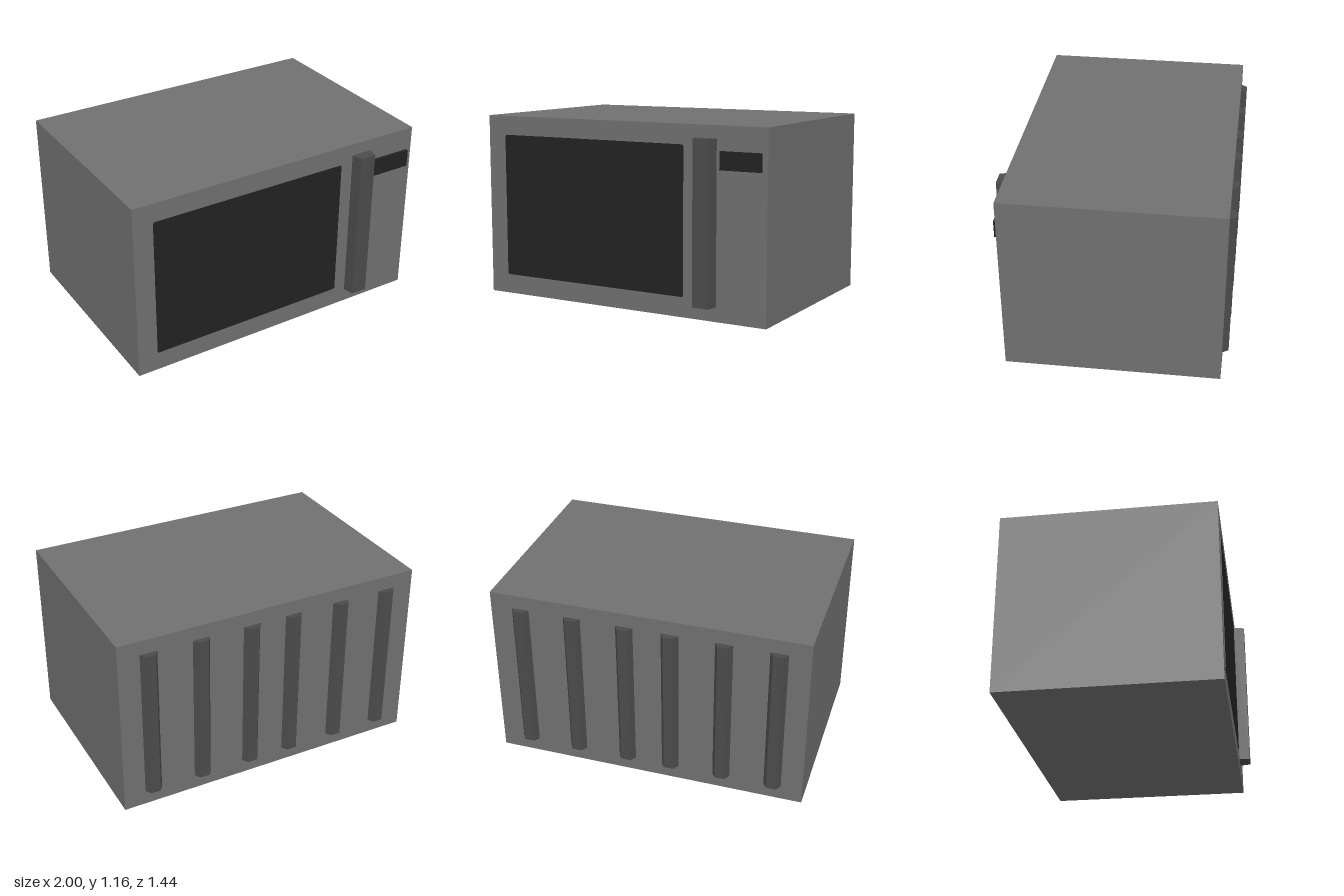
import * as THREE from 'three';

const FRONT = 0.65, BACK = -0.685, HEIGHT = 1.165;

// Upright bar with a trapezoid section that narrows towards -z
function taperedBar(baseWidth, tipWidth, depth, height) {
  const b = baseWidth / 2, t = tipWidth / 2;
  const section = new THREE.Shape([
    new THREE.Vector2(-b, 0), new THREE.Vector2(b, 0),
    new THREE.Vector2(t, depth), new THREE.Vector2(-t, depth),
  ]);
  const geometry = new THREE.ExtrudeGeometry(section, { depth: height, bevelEnabled: false });
  return geometry.rotateX(-Math.PI / 2);
}

// Rectangle with small rounded corners
function roundedRect(x0, y0, x1, y1, r) {
  const s = new THREE.Shape();
  s.absarc(x1 - r, y0 + r, r, -Math.PI / 2, 0);
  s.absarc(x1 - r, y1 - r, r, 0, Math.PI / 2);
  s.absarc(x0 + r, y1 - r, r, Math.PI / 2, Math.PI);
  s.absarc(x0 + r, y0 + r, r, Math.PI, Math.PI * 1.5);
  s.closePath();
  return s;
}

export function createModel() {
  const casing = new THREE.MeshStandardMaterial({ name: 'casingGrey', color: 0x707070 });
  const trim = new THREE.MeshStandardMaterial({ name: 'trimDarkGrey', color: 0x4b4b4b });
  const glass = new THREE.MeshStandardMaterial({ name: 'glassBlack', color: 0x222222 });

  const model = new THREE.Group();
  model.name = 'microwaveOven';
  const add = (name, geometry, material, x, y, z) => {
    const mesh = new THREE.Mesh(geometry, material);
    mesh.name = name;
    mesh.position.set(x, y, z);
    model.add(mesh);
    return mesh;
  };

  // Casing
  add('casing', new THREE.BoxGeometry(2, HEIGHT, FRONT - BACK), casing,
    0, HEIGHT / 2, (FRONT + BACK) / 2);

  // Door window, a thin plate on the front
  add('doorWindow', new THREE.ExtrudeGeometry(roundedRect(-0.87, 0.125, 0.45, 1.043, 0.012),
    { depth: 0.003, bevelEnabled: false, curveSegments: 3 }), glass, 0, 0, FRONT);

  // Door handle, turned to face the front
  add('doorHandle', taperedBar(0.138, 0.106, 0.07, 1), trim, 0.603, 0.088, FRONT)
    .rotation.y = Math.PI;

  // Clock display
  add('display', new THREE.BoxGeometry(0.265, 0.11, 0.02), glass, 0.832, 0.962, FRONT + 0.01);

  // Cooling ribs on the back
  for (const x of [-0.81, -0.48, -0.147, 0.138, 0.472, 0.806]) {
    add('backRib', taperedBar(0.11, 0.062, 0.037, 0.98), trim, x, 0.095, BACK);
  }

  return model;
}
